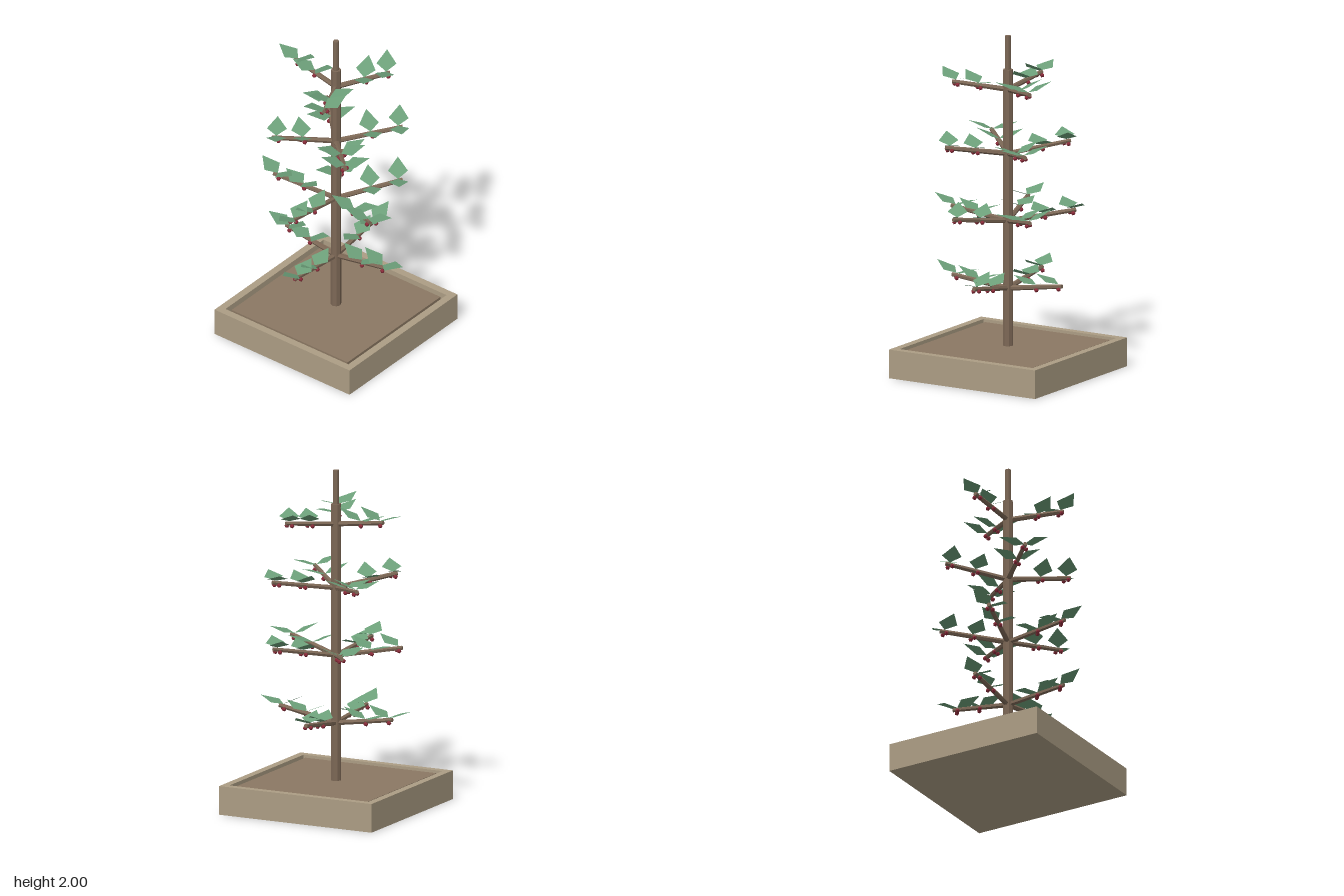
import * as THREE from 'three';

const mat = (name, color, extra = {}) => {
  const m = new THREE.MeshStandardMaterial({ color, ...extra });
  m.name = name;
  return m;
};
const CZ = -0.015; // trunk and planter axis in z
const rad = THREE.MathUtils.degToRad;

// start height, then [angle from +x towards +z, length, rise] per branch
const tiers = [
  { y: 0.5, branches: [[0, 0.37, 0.065], [90, 0.38, 0.035], [180, 0.37, 0.055], [270, 0.37, 0.055]] },
  { y: 0.9, branches: [[21, 0.395, 0.06], [93, 0.4, 0.038], [165, 0.395, 0.065], [237, 0.395, 0.065], [309, 0.395, 0.07]] },
  { y: 1.3, branches: [[43, 0.375, 0.055], [133, 0.375, 0.06], [223, 0.375, 0.055], [313, 0.39, 0.06]] },
  { y: 1.68, branches: [[64, 0.325, 0.04], [184.5, 0.325, 0.045], [305, 0.325, 0.035]] },
];

export function createModel() {
  const stone = mat('planter stone', 0xac9d84, { flatShading: true });
  const soil = mat('soil', 0x8b7863, { flatShading: true });
  const bark = mat('bark', 0x7d6856, { flatShading: true });
  const leafMat = mat('leaf green', 0x6c9f79, { side: THREE.DoubleSide });
  const berryMat = mat('berry red', 0x8a2c3a, { flatShading: true });

  const model = new THREE.Group();
  const tree = new THREE.Group();
  tree.name = 'tree';
  tree.position.z = CZ;
  model.add(tree);

  const add = (parent, name, geo, material, x = 0, y = 0, z = 0) => {
    const mesh = new THREE.Mesh(geo, material);
    mesh.name = name;
    mesh.position.set(x, y, z);
    parent.add(mesh);
    return mesh;
  };

  // Planter: square rim around a floor, soil block set inside with a narrow groove
  const square = (P, h) => {
    const p = new P();
    p.moveTo(-h, -h).lineTo(h, -h).lineTo(h, h).lineTo(-h, h).closePath();
    return p;
  };
  const rimShape = square(THREE.Shape, 0.5);
  rimShape.holes.push(square(THREE.Path, 0.455));
  const rimGeo = new THREE.ExtrudeGeometry(rimShape, { depth: 0.17, bevelEnabled: false });
  rimGeo.rotateX(-Math.PI / 2);
  add(tree, 'planterRim', rimGeo, stone);
  add(tree, 'planterFloor', new THREE.BoxGeometry(0.91, 0.1, 0.91), stone, 0, 0.05, 0);
  add(tree, 'soil', new THREE.BoxGeometry(0.86, 0.06, 0.86), soil, 0, 0.13, 0);

  // Trunk in two sections
  add(tree, 'trunk', new THREE.CylinderGeometry(0.029, 0.031, 1.65, 8), bark, 0, 0.975, 0);
  add(tree, 'trunkTop', new THREE.CylinderGeometry(0.017, 0.018, 0.22, 8), bark, 0, 1.89, 0);

  // Kite-shaped leaf lying along +x with its base at the origin
  const kite = new THREE.Shape();
  kite.moveTo(0, 0).lineTo(0.055, -0.058).lineTo(0.15, 0).lineTo(0.055, 0.058).closePath();
  const leafGeo = new THREE.ShapeGeometry(kite);
  leafGeo.rotateX(-Math.PI / 2);
  const berryGeo = new THREE.IcosahedronGeometry(0.014, 0);
  const up = new THREE.Vector3(0, 1, 0);

  let seed = 7;
  const jitter = (a) => {
    seed = (seed * 16807) % 2147483647;
    return (seed / 2147483647 - 0.5) * 2 * a;
  };

  for (const { y, branches } of tiers) {
    for (const [deg, length, rise] of branches) {
      const a = rad(deg);
      const start = new THREE.Vector3(0, y, 0);
      const end = new THREE.Vector3(Math.cos(a) * length, y + rise, Math.sin(a) * length);
      const dir = end.clone().sub(start);
      const branch = add(tree, 'branch', new THREE.CylinderGeometry(0.013, 0.016, dir.length(), 6), bark);
      branch.position.copy(start).lerp(end, 0.5);
      branch.quaternion.setFromUnitVectors(up, dir.normalize());

      for (const t of [0.52, 0.93]) {
        const node = start.clone().lerp(end, t);
        // Opposite pair of leaves, tilted upwards
        for (const [turn, tilt] of [[0, 16], [180, 24]]) {
          const leaf = add(tree, 'leaf', leafGeo, leafMat, node.x, node.y + 0.014, node.z);
          leaf.rotation.order = 'YZX';
          leaf.rotation.set(0, rad(deg + turn + jitter(9)), rad(tilt + jitter(4)));
        }
        // Two berries hanging under the node
        for (const s of [-1, 1]) {
          add(tree, 'berry', berryGeo, berryMat,
            node.x - Math.sin(a) * 0.013 * s + Math.cos(a) * 0.01 * s,
            node.y - 0.014,
            node.z + Math.cos(a) * 0.013 * s + Math.sin(a) * 0.01 * s);
        }
      }
    }
  }
  return model;
}
